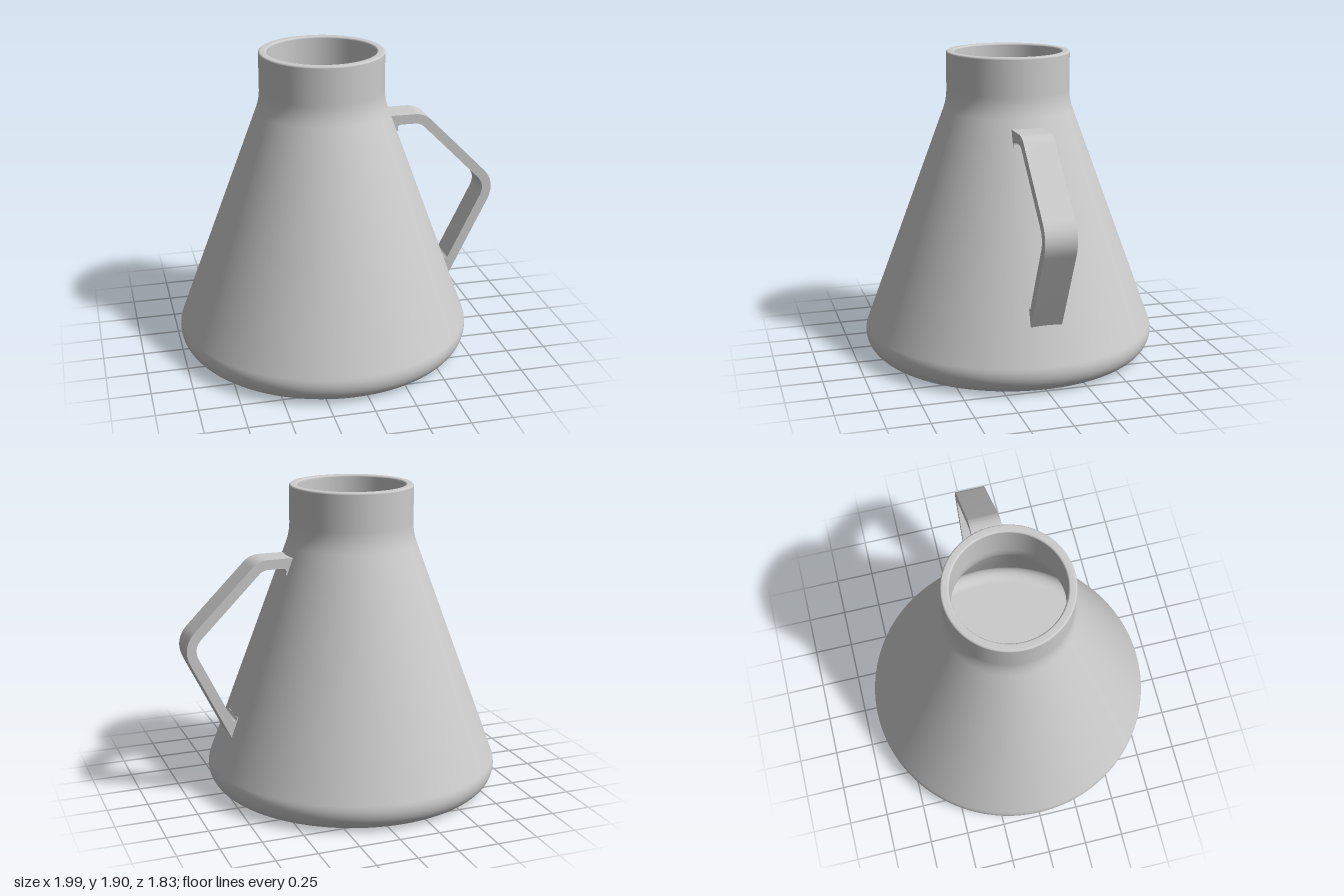
import * as THREE from 'three';
import { toCreasedNormals } from 'three/addons/utils/BufferGeometryUtils.js';

const AXIS_X = -0.085;   // the body sits off centre to balance the handle
const HEIGHT = 1.905;
const WALL = 0.05;
const SLOPE = 0.353;     // lean of the cone wall, in radians

// Points along a circular arc, from angle a0 to a1
function arc(cx, cy, r, a0, a1, n) {
  return Array.from({ length: n + 1 }, (_, i) => {
    const a = a0 + (a1 - a0) * i / n;
    return new THREE.Vector2(cx + r * Math.cos(a), cy + r * Math.sin(a));
  });
}

// Base curve, cone and neck, offset inwards by t
function wallProfile(t) {
  return [
    new THREE.Vector2(0, t),
    ...arc(0.785, 0.13, 0.13 - t, -Math.PI / 2, SLOPE, 16),
    ...arc(0.745, 1.67, 0.365 + t, Math.PI + SLOPE, Math.PI, 8),
  ];
}

function createBody(material) {
  const e = 0.012; // rounding of the rim
  const profile = [
    ...wallProfile(0),
    ...arc(0.38 - e, HEIGHT - e, e, 0, Math.PI / 2, 5),
    ...arc(0.33 + e, HEIGHT - e, e, Math.PI / 2, Math.PI, 5),
    ...wallProfile(WALL).reverse(),
  ];
  const body = new THREE.Mesh(new THREE.LatheGeometry(profile, 128), material);
  body.name = 'body';
  body.position.x = AXIS_X;
  return body;
}

// Draws a polygon whose corners are [x, y, rounding length]
function roundedShape(corners) {
  const pts = corners.map(([x, y]) => new THREE.Vector2(x, y));
  const shape = new THREE.Shape();
  corners.forEach(([x, y, d = 0], i) => {
    const p = pts[i];
    const toward = (q) => p.clone().add(q.clone().sub(p).setLength(d));
    const a = toward(pts.at(i - 1));
    const b = toward(pts[(i + 1) % pts.length]);
    if (i === 0) shape.moveTo(a.x, a.y);
    else shape.lineTo(a.x, a.y);
    if (d) shape.quadraticCurveTo(x, y, b.x, b.y);
  });
  shape.closePath();
  return shape;
}

function createHandle(material) {
  const width = 0.19;
  const shape = roundedShape([
    [0.31, 1.49],
    [0.54, 1.49, 0.06],     // outer edge
    [1.03, 1.0, 0.13],
    [0.715, 0.36],          // lower end, sunk in the wall
    [0.66, 0.52],
    [0.695, 0.521],
    [0.709, 0.483, 0.038],  // lower fillet
    [0.957, 0.988, 0.08],   // inner edge
    [0.515, 1.43, 0.035],
    [0.359, 1.43, 0.04],    // upper fillet
    [0.374, 1.39],
    [0.345, 1.39],
  ]);
  const geometry = new THREE.ExtrudeGeometry(shape, { depth: width, bevelEnabled: false, curveSegments: 14 });
  geometry.translate(0, 0, -width / 2);
  const handle = new THREE.Mesh(toCreasedNormals(geometry, 0.45), material);
  handle.name = 'handle';
  return handle;
}

export function createModel() {
  const material = new THREE.MeshStandardMaterial({ color: 0xcccccc });
  const jug = new THREE.Group();
  jug.name = 'jug';
  jug.add(createBody(material), createHandle(material));
  return jug;
}
